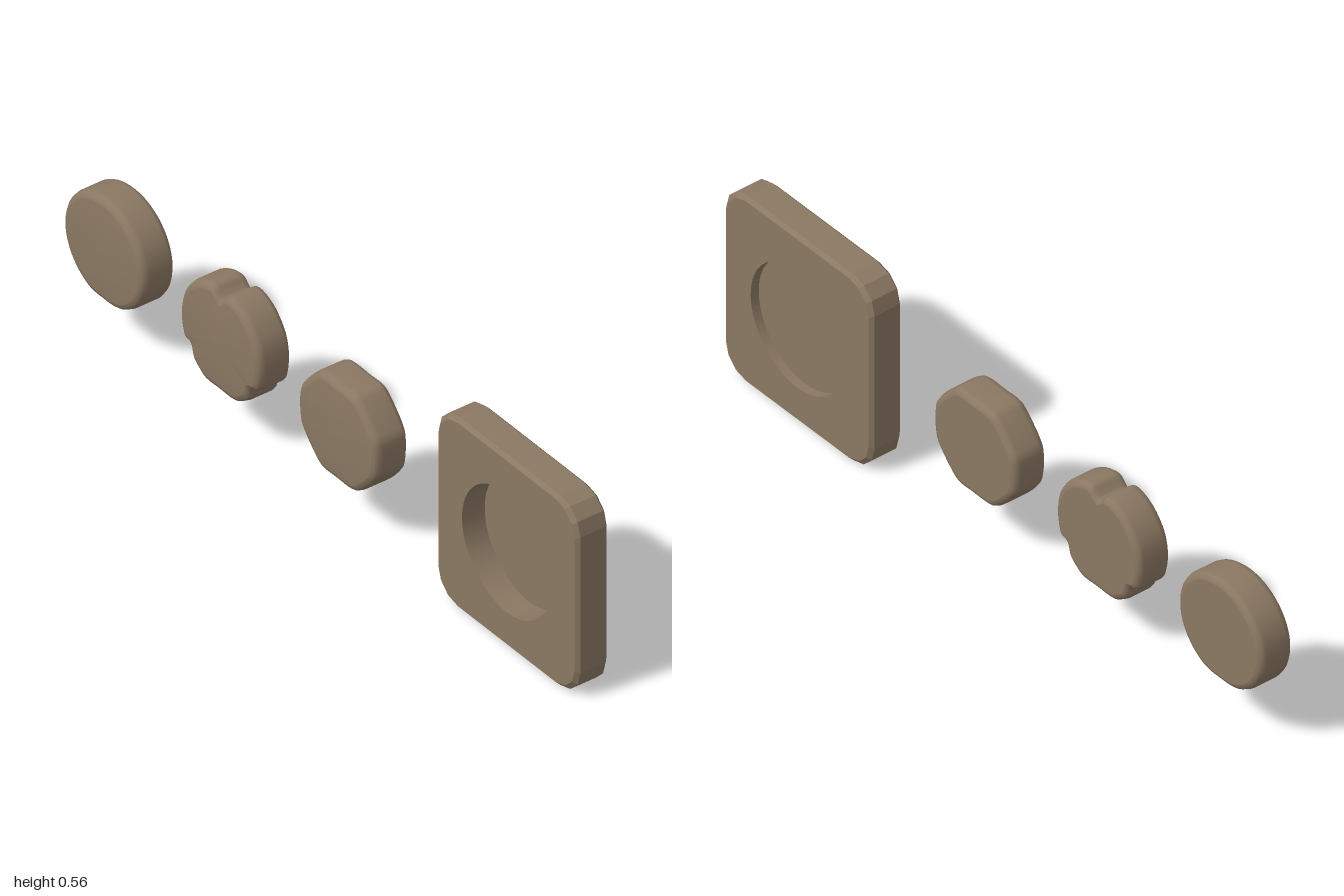
import * as THREE from 'three';

const CENTRE_Y = 0.282;

// Skin through copies of a counter-clockwise outline; rings are [z, scale].
// Rings running from back to front face outwards, front to back face inwards.
function loft(outline, rings) {
  const n = outline.length, pos = [], index = [];
  for (const [z, s] of rings) for (const p of outline) pos.push(p.x * s, p.y * s, z);
  for (let r = 0; r < rings.length - 1; r++) {
    for (let i = 0; i < n; i++) {
      const a = r * n + i, b = r * n + (i + 1) % n;
      index.push(a, b, b + n, a, b + n, a + n);
    }
  }
  const g = new THREE.BufferGeometry();
  g.setAttribute('position', new THREE.Float32BufferAttribute(pos, 3));
  g.setIndex(index);
  g.computeVertexNormals();
  return g;
}

const flat = (g) => {
  const f = g.toNonIndexed();
  f.computeVertexNormals();
  return f;
};

// Flat face at depth z, turned to face backwards if asked
function face(outline, z, s, back = false, hole = null) {
  const shape = new THREE.Shape(outline.map((p) => new THREE.Vector2((back ? -p.x : p.x) * s, p.y * s)));
  if (hole) shape.holes.push(new THREE.Path(hole));
  const g = new THREE.ShapeGeometry(shape);
  if (back) g.rotateY(Math.PI);
  return g.translate(0, 0, z);
}

// Half outline, listed from bottom to top, mirrored and softened
function mirrored(half, steps = 4) {
  const left = half.slice(1, -1).reverse().map(([x, y]) => [-x, y]);
  const pts = [...half, ...left].map(([x, y]) => new THREE.Vector3(x, y, 0));
  const curve = new THREE.CatmullRomCurve3(pts, true, 'centripetal');
  return curve.getPoints(pts.length * steps).slice(0, -1);
}

function circle(r, n) {
  return Array.from({ length: n }, (_, i) => {
    const a = (i / n) * Math.PI * 2;
    return new THREE.Vector2(Math.cos(a) * r, Math.sin(a) * r);
  });
}

export function createModel() {
  const model = new THREE.Group();
  const brown = new THREE.MeshStandardMaterial({ color: 0x8b7863 });
  brown.name = 'warm brown';

  const add = (parent, name, geometry) => {
    const mesh = new THREE.Mesh(geometry, brown);
    mesh.name = name;
    parent.add(mesh);
  };
  const group = (name, x) => {
    const g = new THREE.Group();
    g.name = name;
    g.position.set(x, CENTRE_Y, 0);
    model.add(g);
    return g;
  };

  // Three buttons: round with a flat foot, notched, and eight-sided
  const round = Array.from({ length: 17 }, (_, i) => {
    const a = -Math.PI / 2 + (i / 16) * Math.PI;
    return [i % 16 ? Math.cos(a) * 0.16 : 0, Math.max(Math.sin(a) * 0.153, -0.147)];
  });
  const notched = [[0, -0.147], [0.06, -0.146], [0.085, -0.132], [0.108, -0.112], [0.118, -0.08],
    [0.125, -0.071], [0.146, -0.064], [0.154, -0.045], [0.16, 0.005], [0.146, 0.068],
    [0.1, 0.124], [0.05, 0.146], [0.028, 0.145], [0.012, 0.13], [0, 0.122]];
  const octagonal = [[0, -0.141], [0.06, -0.14], [0.08, -0.13], [0.14, -0.068], [0.153, -0.04],
    [0.155, 0.04], [0.143, 0.068], [0.08, 0.135], [0.06, 0.144], [0, 0.144]];

  const sideRings = [[-0.038, 0.88], [-0.036, 0.93], [-0.03, 0.975], [-0.02, 1],
    [0.04, 1], [0.052, 0.98], [0.059, 0.94], [0.062, 0.88]];
  const domeRings = [[0.062, 0.88], [0.065, 0.66], [0.067, 0.35], [0.068, 0.001]];

  const buttons = [['roundButton', -0.84, round], ['notchedButton', -0.378, notched],
    ['octagonalButton', 0.088, octagonal]];
  for (const [name, x, half] of buttons) {
    const outline = mirrored(half);
    const g = group(name, x);
    add(g, 'buttonSide', loft(outline, sideRings));
    add(g, 'buttonFront', loft(outline, domeRings));
    add(g, 'buttonBack', face(outline, -0.038, 0.88, true));
  }

  // Square plate with faceted corners and chamfered edges
  const H = 0.28, R = 0.08, square = [];
  for (let c = 0; c < 4; c++) {
    const cx = (c === 0 || c === 3 ? 1 : -1) * (H - R);
    const cy = (c < 2 ? 1 : -1) * (H - R);
    for (let i = 0; i <= 3; i++) {
      const a = ((c + i / 3) * Math.PI) / 2;
      square.push(new THREE.Vector2(cx + Math.cos(a) * R, cy + Math.sin(a) * R));
    }
  }
  const plate = group('squarePlate', 0.72);
  const hole = circle(0.176, 64);
  const inset = 0.965, front = 0.03, back = -0.066, floor = -0.038;
  add(plate, 'plateEdge', flat(loft(square, [[back, inset], [back + 0.01, 1], [front - 0.01, 1], [front, inset]])));
  add(plate, 'plateFront', face(square, front, inset, false, hole));
  add(plate, 'plateBack', face(square, back, inset, true, hole));

  // Deep front recess and shallow back recess, sharing a thin floor
  add(plate, 'frontRecessWall', loft(hole, [[front, 1], [floor, 1]]));
  add(plate, 'frontRecessFloor', face(hole, floor, 1));
  add(plate, 'backRecessWall', loft(hole, [[floor - 0.003, 1], [back, 1]]));
  add(plate, 'backRecessFloor', face(hole, floor - 0.003, 1, true));

  return model;
}
